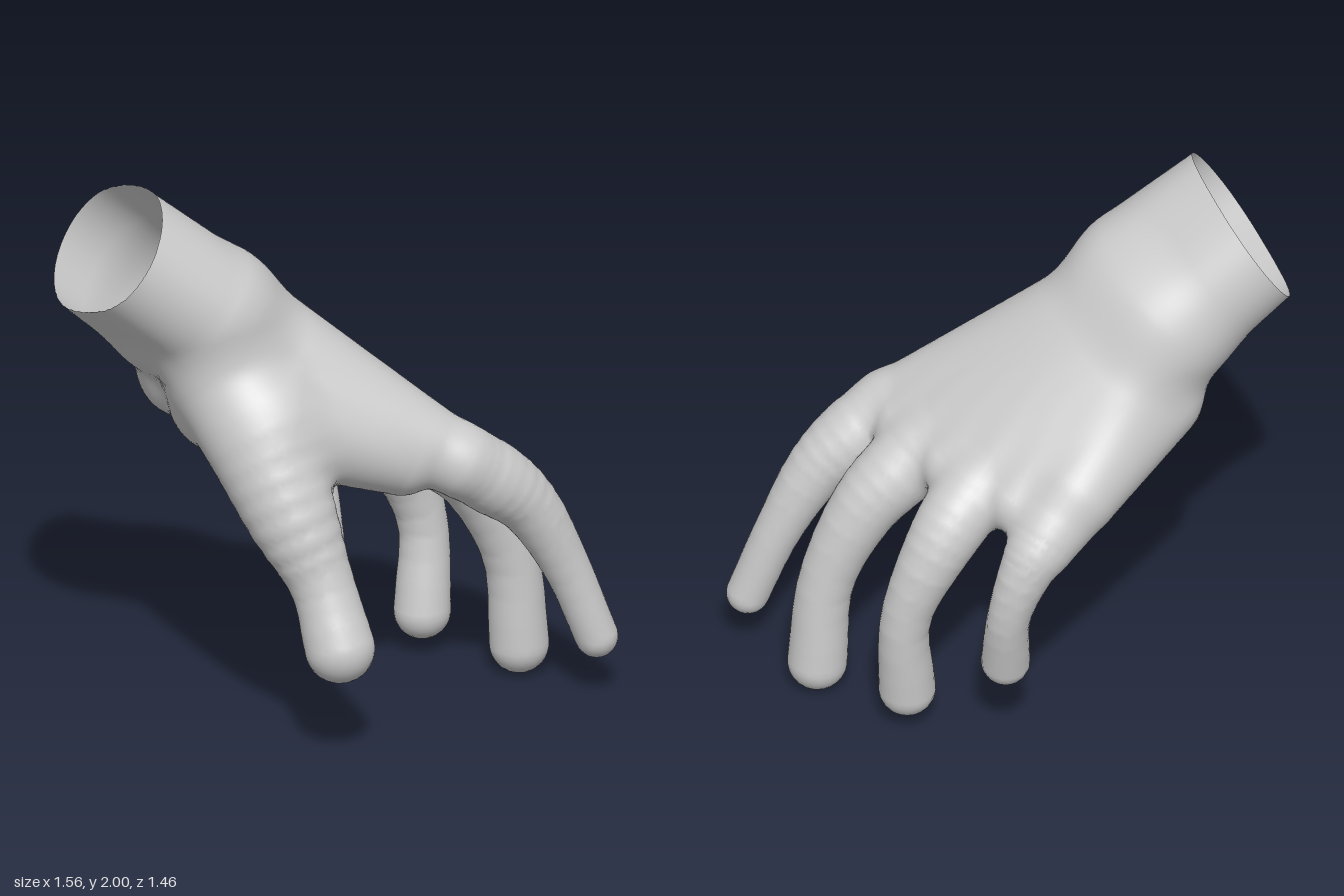
import * as THREE from 'three';
import { mergeVertices } from 'three/addons/utils/BufferGeometryUtils.js';

const V = (p) => new THREE.Vector3(...p);

// Smooth path through points [x, y, z, radius], returned as a sampling function
function path(points) {
  const curve = new THREE.CatmullRomCurve3(points.map(V));
  const radius = new THREE.SplineCurve(points.map((p, i) => new THREE.Vector2(i, p[3])));
  return (t) => [...curve.getPoint(t).toArray(), radius.getPoint(t).y];
}

// Tapered round limb, as a chain of cones along a path
function limb(points, steps) {
  const at = path(points);
  return Array.from({ length: steps }, (_, i) => [at(i / steps), at((i + 1) / steps)]);
}

// Signed distance to one tapered cone with round ends
function cone([a, b], x, y, z) {
  const ux = b[0] - a[0], uy = b[1] - a[1], uz = b[2] - a[2];
  const px = x - a[0], py = y - a[1], pz = z - a[2];
  let t = (px * ux + py * uy + pz * uz) / (ux * ux + uy * uy + uz * uz);
  t = Math.max(0, Math.min(1, t));
  const dx = px - ux * t, dy = py - uy * t, dz = pz - uz * t;
  return Math.sqrt(dx * dx + dy * dy + dz * dz) - (a[3] + (b[3] - a[3]) * t);
}

// Union with a soft fillet of size k
function blend(a, b, k) {
  const h = Math.max(k - Math.abs(a - b), 0);
  return Math.min(a, b) - (h * h) / (4 * k);
}

// Forearm: two limbs side by side give an oval section that widens to the wrist
const side = [-0.18, 0.28, 0.94];
const beside = (p, s) => [p[0] + side[0] * s, p[1] + side[1] * s, p[2] + side[2] * s, p[3]];
const forearm = [-1, 1].map((s) => [
  beside([-0.82, 1.97, -0.55, 0.222], 0.07 * s),
  beside([-0.385, 1.53, -0.28, 0.228], 0.11 * s),
]);

// Palm: a fan of cones from wrist to knuckles, then outer edge, heel and thumb web
const wristArc = path([[-0.32, 1.45, -0.39, 0.18], [-0.32, 1.5, -0.32, 0.19], [-0.3, 1.49, -0.24, 0.19], [-0.28, 1.44, -0.15, 0.2]]);
const knuckleArc = path([[0.21, 0.92, -0.43, 0.12], [0.3, 0.95, -0.13, 0.12], [0.3, 0.96, 0.15, 0.12], [0.25, 0.95, 0.42, 0.12]]);
const palm = [
  [[-0.24, 1.22, -0.41, 0.18], [0.12, 0.99, -0.44, 0.145]],
  [[-0.28, 1.18, -0.2, 0.2], [0.2, 0.94, -0.05, 0.15]],
  [[-0.3, 1.18, 0.04, 0.2], [0.1, 0.985, 0.28, 0.15]],
];
for (let i = 0; i <= 6; i++) palm.push([wristArc(i / 6), knuckleArc(i / 6)]);

const digits = {
  indexFinger: [[0.25, 0.95, 0.42, 0.12], [0.36, 0.865, 0.465, 0.13], [0.48, 0.745, 0.525, 0.108], [0.6, 0.5, 0.595, 0.083], [0.685, 0.22, 0.665, 0.076]],
  middleFinger: [[0.28, 0.96, 0.16, 0.12], [0.39, 0.88, 0.19, 0.135], [0.51, 0.75, 0.24, 0.12], [0.63, 0.45, 0.31, 0.098], [0.66, 0.105, 0.325, 0.105]],
  ringFinger: [[0.28, 0.95, -0.12, 0.12], [0.39, 0.88, -0.13, 0.13], [0.5, 0.755, -0.125, 0.116], [0.6, 0.48, -0.075, 0.088], [0.57, 0.15, -0.048, 0.1]],
  littleFinger: [[0.2, 0.92, -0.43, 0.12], [0.28, 0.86, -0.44, 0.12], [0.35, 0.785, -0.44, 0.098], [0.41, 0.58, -0.405, 0.076], [0.375, 0.335, -0.345, 0.086]],
};
const fingers = Object.values(digits).map((p) => limb(p, 14));
const thumb = limb([[-0.37, 1.3, -0.1, 0.2], [-0.385, 1.1, 0.07, 0.19], [-0.39, 0.88, 0.21, 0.158], [-0.365, 0.65, 0.33, 0.113], [-0.372, 0.435, 0.42, 0.123]], 14);

const nearest = (segments, x, y, z) => {
  let d = Infinity;
  for (const s of segments) d = Math.min(d, cone(s, x, y, z));
  return d;
};
const blended = (segments, k, x, y, z) => {
  let d = 9;
  for (const s of segments) d = blend(d, cone(s, x, y, z), k);
  return d;
};

// Distance to every part, in the order of NAMES
const NAMES = ['forearm', 'palm', 'thumb', ...Object.keys(digits)];
const partDistances = (x, y, z) => [
  blended(forearm, 0.1, x, y, z),
  blended(palm, 0.05, x, y, z),
  nearest(thumb, x, y, z),
  ...fingers.map((f) => nearest(f, x, y, z)),
];

// Whole hand: soft wrist and thumb, tight clefts between fingers
function hand(x, y, z) {
  const [arm, body, thumbD, ...f] = partDistances(x, y, z);
  let d = f[0];
  for (let i = 1; i < f.length; i++) d = blend(d, f[i], 0.02);
  return blend(blend(blend(arm, body, 0.14), thumbD, 0.1), d, 0.05);
}

function gradient(p) {
  const e = 0.006;
  return new THREE.Vector3(
    hand(p.x + e, p.y, p.z) - hand(p.x - e, p.y, p.z),
    hand(p.x, p.y + e, p.z) - hand(p.x, p.y - e, p.z),
    hand(p.x, p.y, p.z + e) - hand(p.x, p.y, p.z - e),
  ).divideScalar(2 * e);
}

// Surface net: one vertex per grid cell crossed by the skin, one quad per crossed edge
function skin() {
  const cell = 0.024, lo = [-0.86, -0.06, -0.86], size = [72, 91, 72];
  const step = [1, size[0], size[0] * size[1]];
  const total = step[2] * size[2];
  const coords = (i) => [i % size[0], Math.floor(i / step[1]) % size[1], Math.floor(i / step[2])];
  const place = (c) => c.map((v, a) => lo[a] + v * cell);
  const field = new Float32Array(total);
  for (let i = 0; i < total; i++) field[i] = hand(...place(coords(i)));

  const vertices = new Map();
  const quads = [];
  for (let i = 0; i < total; i++) {
    const c = coords(i);
    if (c.some((v, a) => v < 1 || v >= size[a] - 1)) continue;
    const sum = new THREE.Vector3();
    let hits = 0;
    for (let a = 0; a < 3; a++) {
      const b = (a + 1) % 3, d = (a + 2) % 3;
      for (let k = 0; k < 4; k++) {
        const u = k & 1, w = k >> 1;
        const from = i + u * step[b] + w * step[d];
        const f0 = field[from], f1 = field[from + step[a]];
        if (f0 < 0 === f1 < 0) continue;
        const q = [...c];
        q[a] += f0 / (f0 - f1);
        q[b] += u;
        q[d] += w;
        sum.add(V(place(q)));
        hits++;
        if (k === 0) {
          const quad = [i, i - step[b], i - step[b] - step[d], i - step[d]];
          quads.push(f0 < 0 ? quad : quad.reverse());
        }
      }
    }
    if (hits) vertices.set(i, { p: sum.divideScalar(hits) });
  }
  return { vertices, quads };
}

export function createModel() {
  const { vertices, quads } = skin();

  // Settle vertices on the skin and trim the forearm on a slanted plane
  const axis = V([0.77, -0.54, 0.36]).normalize();
  const cut = new THREE.Plane().setFromNormalAndCoplanarPoint(axis, V([-0.625, 1.78, -0.44]));
  for (const v of vertices.values()) {
    for (let k = 0; k < 2; k++) {
      const g = gradient(v.p);
      v.p.addScaledVector(g, -hand(v.p.x, v.p.y, v.p.z) / Math.max(g.lengthSq(), 0.2));
    }
    v.n = gradient(v.p).normalize();
    const d = cut.distanceToPoint(v.p);
    v.beyond = d < 0;
    if (v.beyond) v.p.addScaledVector(axis, -d);
  }

  // Sort the faces into named parts that share the same smooth normals
  const buckets = NAMES.map(() => ({ position: [], normal: [] }));
  for (const quad of quads) {
    const q = quad.map((i) => vertices.get(i));
    if (q.some((v) => !v) || q.every((v) => v.beyond)) continue;
    const mid = q.reduce((s, v) => s.add(v.p), new THREE.Vector3()).divideScalar(4);
    const d = partDistances(mid.x, mid.y, mid.z);
    const bucket = buckets[d.indexOf(Math.min(...d))];
    for (const k of [0, 1, 2, 0, 2, 3]) {
      bucket.position.push(...q[k].p.toArray());
      bucket.normal.push(...q[k].n.toArray());
    }
  }

  const material = new THREE.MeshStandardMaterial({ color: 0xcccccc, side: THREE.DoubleSide });
  const group = new THREE.Group();
  group.name = 'hand';
  buckets.forEach((b, i) => {
    const geometry = new THREE.BufferGeometry();
    geometry.setAttribute('position', new THREE.Float32BufferAttribute(b.position, 3));
    geometry.setAttribute('normal', new THREE.Float32BufferAttribute(b.normal, 3));
    const mesh = new THREE.Mesh(mergeVertices(geometry), material);
    mesh.name = NAMES[i];
    group.add(mesh);
  });
  return group;
}
